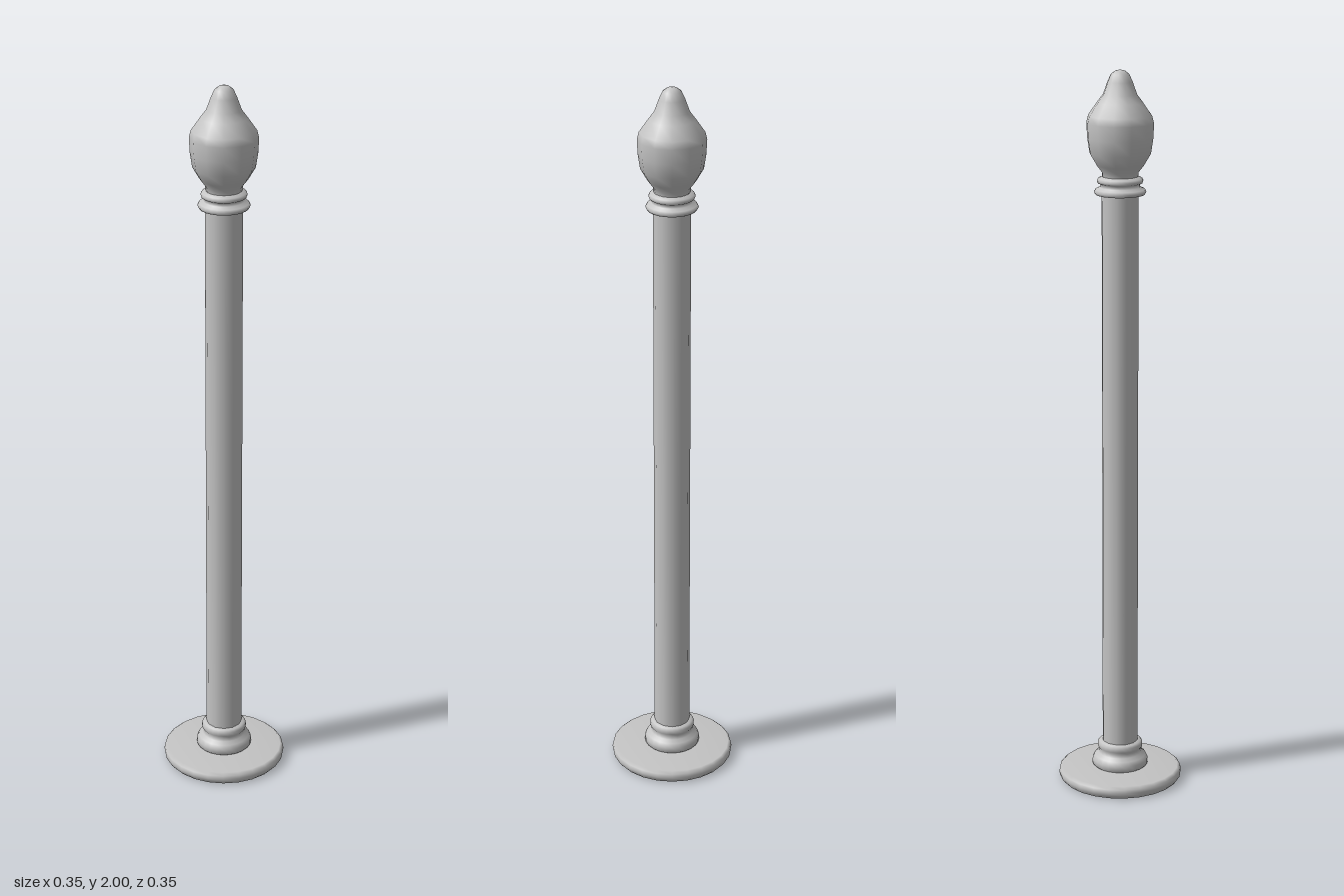
import * as THREE from 'three';

// Turned part from [radius, height] pairs, listed bottom to top
function turned(name, profile, sides, material) {
  const points = profile.map(([r, y]) => new THREE.Vector2(r, y));
  const mesh = new THREE.Mesh(new THREE.LatheGeometry(points, sides), material);
  mesh.name = name;
  return mesh;
}

export function createModel() {
  const group = new THREE.Group();
  group.name = 'post';
  const metal = new THREE.MeshStandardMaterial({ color: 0xc4c4c4, side: THREE.DoubleSide });
  metal.name = 'grey metal';

  // Round foot plate, hollow underneath
  group.add(turned('footPlate', [
    [0.164, 0], [0.171, 0.008], [0.173, 0.018], [0.171, 0.028], [0.163, 0.035], [0.07, 0.038],
  ], 24, metal));

  // Stepped collar where the shaft meets the foot
  group.add(turned('footCollar', [
    [0.07, 0.034], [0.078, 0.042], [0.078, 0.056], [0.072, 0.068], [0.061, 0.075],
    [0.058, 0.086], [0.063, 0.093], [0.063, 0.104], [0.058, 0.11], [0.049, 0.112],
  ], 24, metal));

  // Long straight shaft
  group.add(turned('shaft', [[0.05, 0.1], [0.05, 1.675]], 12, metal));

  // Two rings under the finial
  group.add(turned('neckRings', [
    [0.05, 1.668], [0.066, 1.67], [0.07, 1.677], [0.066, 1.684], [0.054, 1.689],
    [0.052, 1.697], [0.06, 1.701], [0.062, 1.707], [0.059, 1.713], [0.048, 1.718],
  ], 24, metal));

  // Bud-shaped finial
  group.add(turned('finial', [
    [0.048, 1.715], [0.05, 1.73], [0.064, 1.748], [0.083, 1.78], [0.089, 1.82],
    [0.091, 1.86], [0.086, 1.88], [0.062, 1.914], [0.046, 1.935], [0.034, 1.968],
    [0.025, 1.988], [0.013, 1.997], [0, 2],
  ], 12, metal));

  return group;
}
